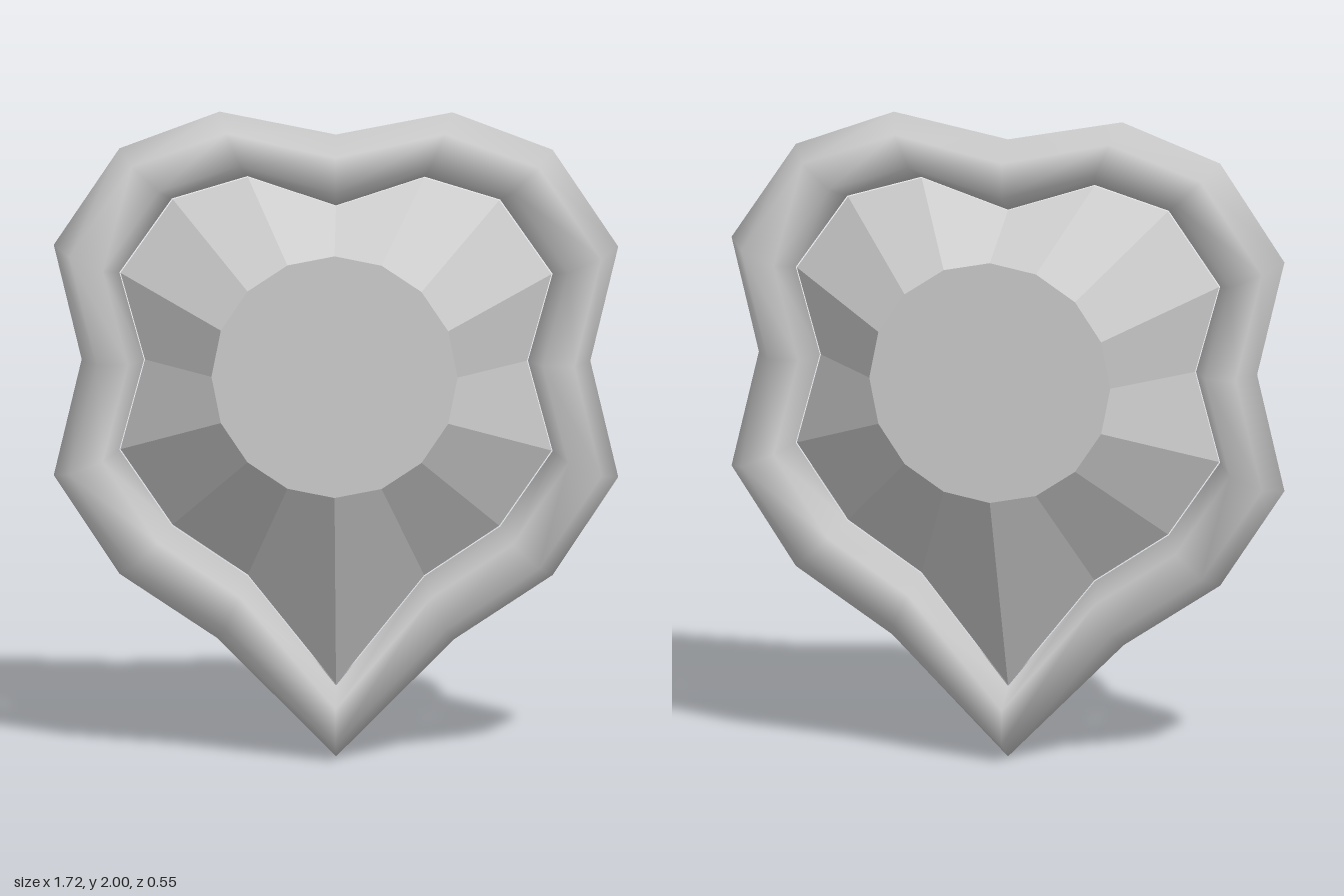
import * as THREE from 'three';

// Right half of the outlines from top notch to bottom tip: outer x, y, inner x, y
const HALF = [
  [0, 1.93, 0, 1.71], [0.355, 2, 0.27, 1.8], [0.66, 1.885, 0.5, 1.73],
  [0.86, 1.585, 0.66, 1.5], [0.775, 1.23, 0.585, 1.23], [0.86, 0.87, 0.66, 0.95],
  [0.66, 0.565, 0.5, 0.715], [0.36, 0.365, 0.27, 0.56], [0, 0, 0, 0.22],
];
const OUTLINE = [
  ...HALF,
  ...HALF.slice(1, -1).reverse().map(([a, b, c, d]) => [-a, b, -c, d]),
];
const N = OUTLINE.length;
const CENTER_Y = 1.23, TABLE_R = 0.375, TABLE_Z = 0.275;

// Closed hexagonal tube following the outline, smooth shaded
function frameGeometry() {
  const pos = [], index = [], sides = 6;
  OUTLINE.forEach(([ox, oy, ix, iy], i) => {
    for (let j = 0; j < sides; j++) {
      const a = (j / sides) * Math.PI * 2;
      const t = (1 + Math.cos(a)) / 2;
      pos.push(ix + (ox - ix) * t, iy + (oy - iy) * t, 0.11 * Math.sin(a));
      const k = ((i + 1) % N) * sides, j2 = (j + 1) % sides, m = i * sides;
      index.push(m + j, m + j2, k + j, m + j2, k + j2, k + j);
    }
  });
  const g = new THREE.BufferGeometry();
  g.setAttribute('position', new THREE.Float32BufferAttribute(pos, 3));
  g.setIndex(index);
  g.computeVertexNormals();
  return g;
}

// Flat facets from the round table down to the rim, one normal per facet
function facetGeometry() {
  const pos = [], nor = [];
  const table = i => {
    const a = (i / N) * Math.PI * 2;
    return new THREE.Vector3(TABLE_R * Math.sin(a), CENTER_Y + TABLE_R * Math.cos(a), TABLE_Z);
  };
  const rim = i => {
    const [, , x, y] = OUTLINE[i % N];
    return new THREE.Vector3(x * 0.995, CENTER_Y + (y - CENTER_Y) * 0.995, 0);
  };
  for (let i = 0; i < N; i++) {
    const c0 = table(i), c1 = table(i + 1), r1 = rim(i + 1), r0 = rim(i);
    const n = r1.clone().sub(c0).cross(r0.clone().sub(c1)).normalize();
    // split along the diagonal that bulges outward
    const bulge = n.dot(c0.clone().add(r1).sub(c1).sub(r0));
    const tris = bulge > 0 ? [c0, c1, r1, c0, r1, r0] : [c0, c1, r0, c1, r1, r0];
    for (const p of tris) {
      pos.push(p.x, p.y, p.z);
      nor.push(n.x, n.y, n.z);
    }
  }
  const g = new THREE.BufferGeometry();
  g.setAttribute('position', new THREE.Float32BufferAttribute(pos, 3));
  g.setAttribute('normal', new THREE.Float32BufferAttribute(nor, 3));
  return g;
}

export function createModel() {
  const grey = new THREE.MeshStandardMaterial({ color: 0xcccccc });
  grey.name = 'grey';
  const model = new THREE.Group();
  model.name = 'framedGem';

  const add = (parent, name, geometry) => {
    const mesh = new THREE.Mesh(geometry, grey);
    mesh.name = name;
    parent.add(mesh);
    return mesh;
  };

  add(model, 'frame', frameGeometry());

  // The gem has the same cut on both sides
  const facets = facetGeometry();
  const disc = new THREE.CircleGeometry(TABLE_R, N);
  for (const [name, turn] of [['gemFront', 0], ['gemBack', Math.PI]]) {
    const half = new THREE.Group();
    half.name = name;
    half.rotation.y = turn;
    add(half, 'facets', facets);
    add(half, 'table', disc).position.set(0, CENTER_Y, TABLE_Z);
    model.add(half);
  }
  return model;
}
